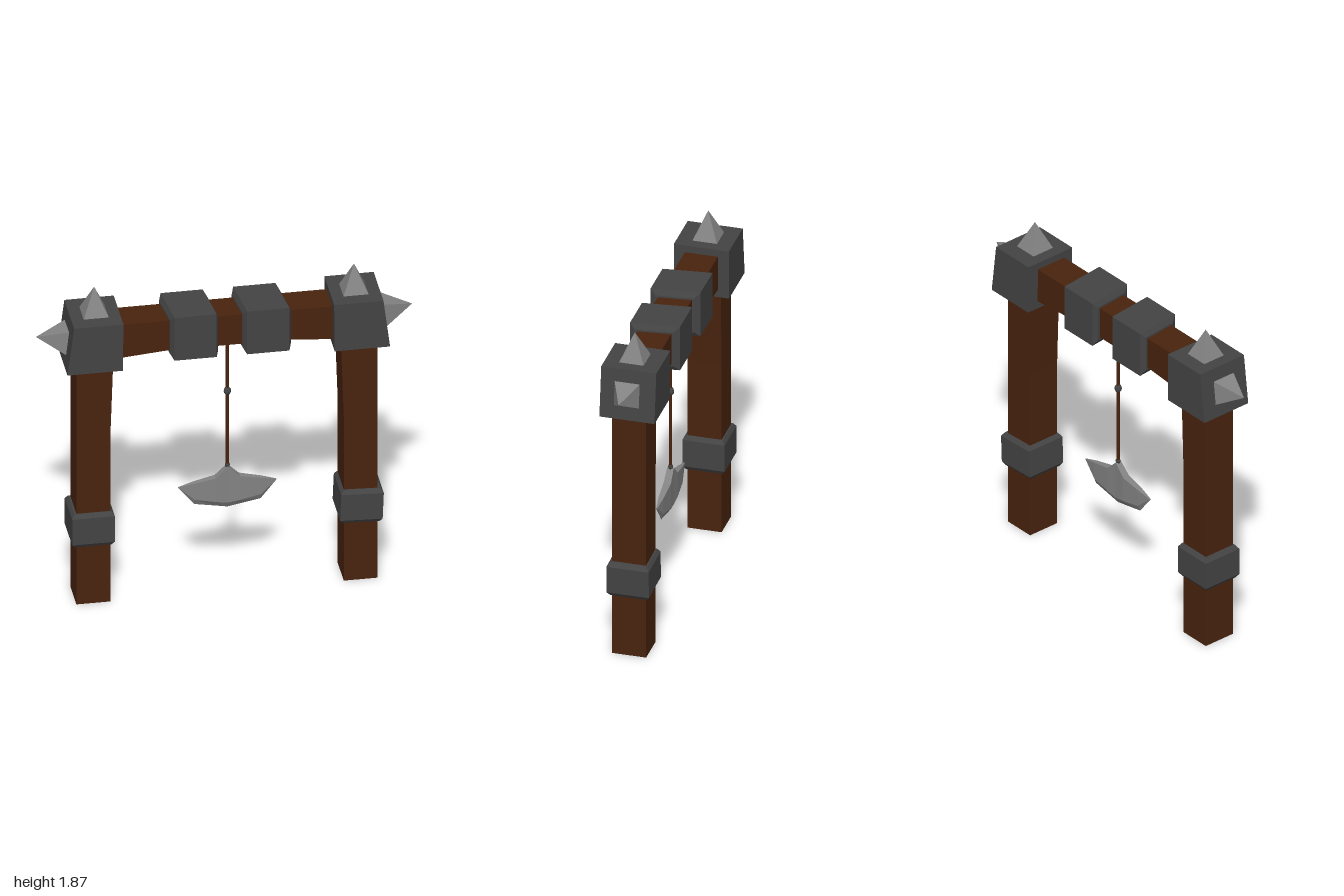
import * as THREE from 'three';

const wood = new THREE.MeshStandardMaterial({ color: 0x48230e, flatShading: true });
wood.name = 'darkWood';
const iron = new THREE.MeshStandardMaterial({ color: 0x444444, flatShading: true });
iron.name = 'darkIron';
const steel = new THREE.MeshStandardMaterial({ color: 0x838383, flatShading: true });
steel.name = 'steel';

// Flat-faced skin through rings of points, closed at both ends
function loft(rings) {
  const pos = [];
  const tri = (a, b, c) => pos.push(...a, ...b, ...c);
  const n = rings[0].length;
  const last = rings[rings.length - 1];
  for (let r = 0; r < rings.length - 1; r++) {
    for (let i = 0; i < n; i++) {
      const j = (i + 1) % n;
      tri(rings[r][i], rings[r][j], rings[r + 1][j]);
      tri(rings[r][i], rings[r + 1][j], rings[r + 1][i]);
    }
  }
  for (let i = 1; i < n - 1; i++) {
    tri(rings[0][0], rings[0][i + 1], rings[0][i]);
    tri(last[0], last[i], last[i + 1]);
  }
  const g = new THREE.BufferGeometry();
  g.setAttribute('position', new THREE.Float32BufferAttribute(pos, 3));
  g.computeVertexNormals();
  return g;
}

// Rectangular ring across a vertical part
const ringY = (y, x0, x1, z) => [[x0, y, z], [x1, y, z], [x1, y, -z], [x0, y, -z]];

// Rectangular ring across a horizontal part, slanted along x by depth
const ringX = (x, y0, y1, z, slant = 0) => [
  [x + slant * z, y0, z], [x - slant * z, y0, -z],
  [x - slant * z, y1, -z], [x + slant * z, y1, z],
];

export function createModel() {
  const model = new THREE.Group();
  model.name = 'pendulumBladeFrame';

  const add = (name, geometry, material, x = 0, y = 0, z = 0, parent = model) => {
    const mesh = new THREE.Mesh(geometry, material);
    mesh.name = name;
    mesh.position.set(x, y, z);
    parent.add(mesh);
    return mesh;
  };

  for (const s of [-1, 1]) {
    const side = s > 0 ? 'left' : 'right';
    // Mirrors the x range while keeping the ring direction
    const level = (y, inner, outer, z) =>
      ringY(y, Math.min(s * inner, s * outer), Math.max(s * inner, s * outer), z);

    // Post, widening inwards towards the top
    add(side + 'Post', loft([
      level(0, 0.62, 0.8, 0.093),
      level(1.0, 0.62, 0.8, 0.093),
      level(1.5, 0.603, 0.8, 0.093),
    ]), wood);

    // Chamfered band around the post
    const band = add(side + 'PostBand', loft([
      ringY(-0.1, -0.098, 0.098, 0.1),
      ringY(-0.078, -0.113, 0.113, 0.115),
      ringY(0.078, -0.113, 0.113, 0.115),
      ringY(0.1, -0.098, 0.098, 0.1),
    ]), iron, s * 0.713, 0.452);
    if (s > 0) band.rotation.z = -0.04;

    // Corner block with a sloping outer wall
    add(side + 'CornerBlock', loft([
      level(1.433, 0.563, 0.857, 0.15),
      level(1.715, 0.56, 0.822, 0.15),
    ]), iron, 0, 0, s > 0 ? -0.005 : 0);

    // Square spikes on the top and the outer wall
    const spike = new THREE.ConeGeometry(0.068 * Math.SQRT2, 0.158, 4).rotateY(Math.PI / 4);
    add(side + 'TopSpike', spike, steel, s * 0.69, 1.791, 0);
    add(side + 'SideSpike', spike, steel, s * 0.921, 1.586, 0).rotation.z = -s * (Math.PI / 2 - 0.12);

    // Slanted collar around the beam
    const k = 0.11;
    add(side + 'BeamCollar', loft([
      ringX(-0.128, 1.482, 1.685, 0.103, k),
      ringX(-0.112, 1.455, 1.715, 0.132, k),
      ringX(0.112, 1.455, 1.715, 0.132, k),
      ringX(0.128, 1.482, 1.685, 0.103, k),
    ]), iron, s > 0 ? 0.198 : -0.188, 0, 0);
  }

  // Cross beam, deeper at both ends
  add('crossBeam', loft([
    ringX(-0.7, 1.465, 1.675, 0.09),
    ringX(-0.31, 1.497, 1.675, 0.09),
    ringX(0.31, 1.497, 1.675, 0.09),
    ringX(0.7, 1.465, 1.675, 0.09),
  ]), wood);

  // Hanging pendulum
  const pendulum = new THREE.Group();
  pendulum.name = 'pendulum';
  pendulum.position.x = 0.018;
  model.add(pendulum);
  add('rod', new THREE.CylinderGeometry(0.009, 0.009, 0.84, 8), wood, 0, 1.12, 0, pendulum);
  add('rodBead', new THREE.SphereGeometry(0.02, 8, 6).scale(1, 1.25, 1), iron, 0, 1.165, 0, pendulum);
  add('lowerBead', new THREE.SphereGeometry(0.014, 8, 6), iron, 0, 0.715, 0, pendulum);

  // Blade columns: x, top, bevel line, cutting edge, half thickness
  const half = [
    [0.261, 0.602, 0.6, 0.598, 0.003],
    [0.177, 0.623, 0.525, 0.492, 0.014],
    [0.064, 0.647, 0.504, 0.471, 0.02],
  ];
  const columns = [
    ...half.map(([x, ...rest]) => [-x, ...rest]),
    [0, 0.71, 0.492, 0.459, 0.018],
    ...[...half].reverse(),
  ];
  add('blade', loft(columns.map(([x, top, bevel, edge, t]) => [
    [x, top, t], [x, bevel, t], [x, edge, 0], [x, bevel, -t], [x, top, -t],
  ])), steel, 0, 0, 0, pendulum);

  return model;
}
